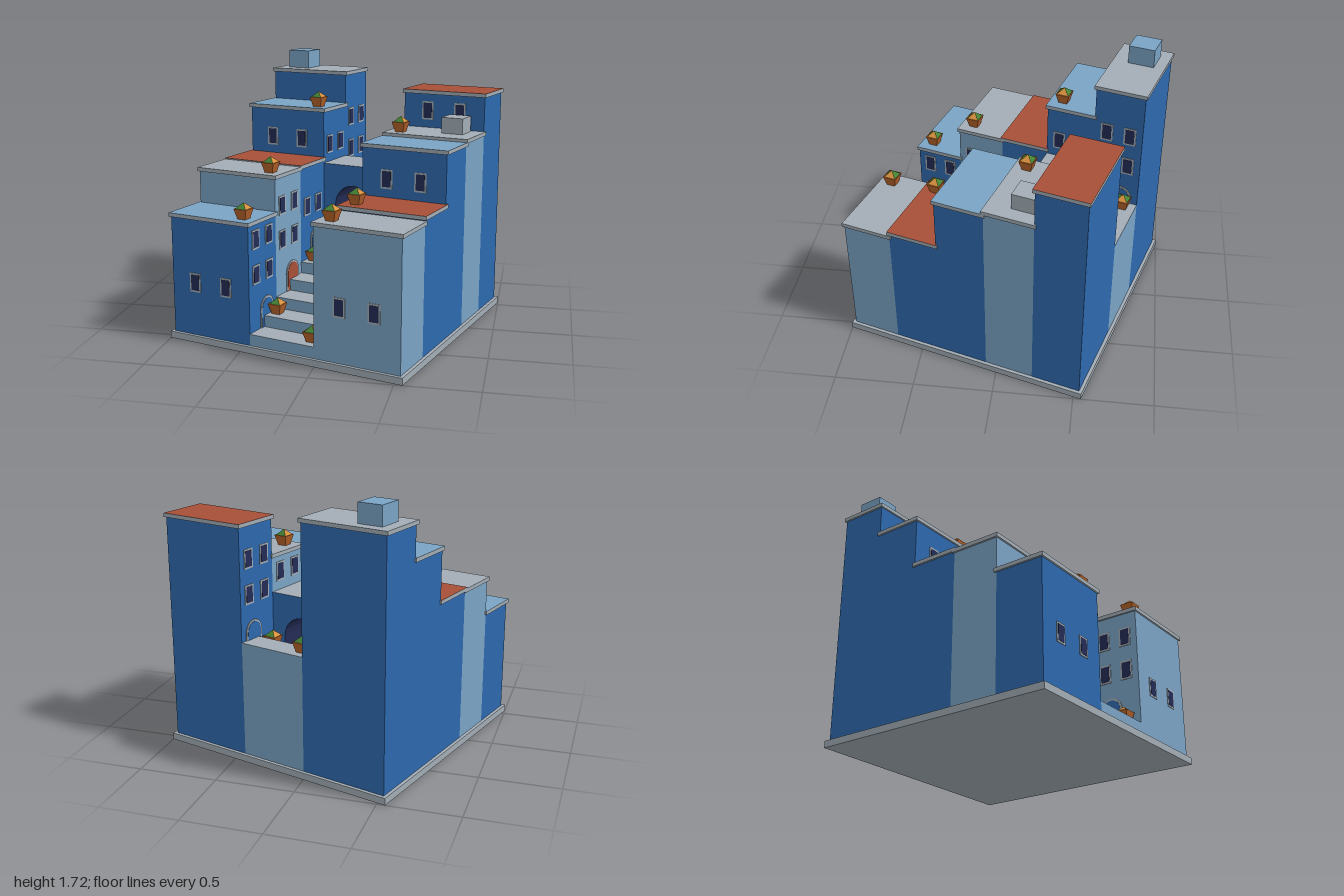
import * as THREE from 'three';

const paint = (name, color) => {
  const m = new THREE.MeshStandardMaterial({ color });
  m.name = name;
  return m;
};

export function createModel() {
  const grey = paint('stone grey', 0xa3adb5);
  const pale = paint('pale blue', 0x7aa3c4);
  const blue = paint('deep blue', 0x2d69ae);
  const red = paint('terracotta red', 0xa84f38);
  const navy = paint('dark glass', 0x232c55);
  const clay = paint('clay pot', 0xb5622a);
  const green = paint('leaf green', 0x458235);
  const flower = paint('orange blossom', 0xd8913c);

  const model = new THREE.Group();
  model.name = 'hillsideStreet';
  const town = new THREE.Group();
  town.name = 'town';
  town.rotation.y = -0.2825;
  model.add(town);

  const GROUND = 0.044, HALF = 0.786, PITCH = 0.3144, STREET = 0.223;
  const RISE = 0.073, BRIDGE_TOP = 1.013, LIP = 0.011, SLAB = 0.025;
  const stepTop = (i) => GROUND + RISE * (i + 1);

  const add = (name, geometry, material, x = 0, y = 0, z = 0, parent = town) => {
    const mesh = new THREE.Mesh(geometry, material);
    mesh.name = name;
    mesh.position.set(x, y, z);
    parent.add(mesh);
    return mesh;
  };
  // Box given by its ranges, with its own colour on the top face
  const block = (name, x0, x1, y0, y1, z0, z1, side, top = side) =>
    add(name, new THREE.BoxGeometry(x1 - x0, y1 - y0, z1 - z0),
      [side, side, top, side, side, side], (x0 + x1) / 2, (y0 + y1) / 2, (z0 + z1) / 2);

  // Windows and doors are thin plates, turned to the wall they sit on
  const addWindow = (x, y, z, turn) => {
    const g = new THREE.Group();
    g.name = 'window';
    g.position.set(x, y, z);
    g.rotation.y = turn;
    add('windowFrame', new THREE.BoxGeometry(0.079, 0.122, 0.008), grey, 0, 0, 0, g);
    add('windowPane', new THREE.BoxGeometry(0.058, 0.1, 0.009), navy, 0, 0, 0.001, g);
    town.add(g);
  };
  const archShape = (w, spring, bottom = 0) => {
    const s = new THREE.Shape();
    s.moveTo(-w, bottom);
    s.lineTo(w, bottom);
    s.lineTo(w, spring);
    s.absarc(0, spring, w, 0, Math.PI, false);
    s.lineTo(-w, bottom);
    return s;
  };
  const plate = (shape, depth) =>
    new THREE.ExtrudeGeometry(shape, { depth, bevelEnabled: false, curveSegments: 5 });
  const addDoor = (x, y, z, turn, color) => {
    const g = new THREE.Group();
    g.name = 'door';
    g.position.set(x, y, z);
    g.rotation.y = turn;
    add('doorFrame', plate(archShape(0.075, 0.118), 0.006), grey, 0, 0, 0, g);
    add('doorLeaf', plate(archShape(0.062, 0.118), 0.008), color, 0, 0, 0, g);
    town.add(g);
  };

  // Base slab
  block('base', -0.807, 0.807, 0, GROUND, -0.807, 0.807, grey);

  // Houses: height, wall, roof, front windows height (if any), door colour
  const rows = {
    left: [
      [0.818, blue, pale, 0.388, blue],
      [1.048, pale, grey, 0, red],
      [1.056, blue, red, 0, blue],
      [1.384, blue, pale, 1.171, blue],
      [1.599, blue, grey, 0, blue],
    ],
    right: [
      [0.88, pale, grey, 0.388, blue],
      [0.911, blue, red, 0, red],
      [1.24, blue, pale, 1.027, blue],
      [1.26, pale, grey, 0, blue],
      [1.507, blue, red, 1.373, blue],
    ],
  };
  for (const [row, houses] of Object.entries(rows)) {
    const s = row === 'left' ? -1 : 1;
    const x0 = s < 0 ? -HALF : STREET, x1 = s < 0 ? -STREET : HALF;
    const turn = -s * Math.PI / 2;
    houses.forEach(([top, wall, roof, frontY, doorColor], i) => {
      const zf = HALF - PITCH * i, zb = zf - PITCH, zm = (zf + zb) / 2;
      block(row + 'House', x0, x1, GROUND, top - 0.01, zb, zf, wall);
      block(row + 'Roof', x0 - LIP, x1 + LIP, top - SLAB, top, zb - LIP, zf + LIP, grey, roof);
      if (frontY) {
        for (const dx of [-0.113, 0.113]) addWindow((x0 + x1) / 2 + dx, frontY, zf, 0);
      }
      // Street side
      const foot = stepTop(2 * i);
      const bridged = i === 3;
      if (!bridged) addDoor(s * STREET, foot, zm - 0.04, turn, doorColor);
      for (let y = foot + 0.359; y + 0.1 < top; y += 0.222) {
        if (bridged && y < BRIDGE_TOP + 0.06) continue;
        for (const dz of [-0.075, 0.075]) addWindow(s * STREET, y, zm + dz, turn);
      }
    });
  }

  // Boxes on the roofs
  block('roofTank', -0.722, -0.564, 1.59, 1.719, -0.728, -0.56, pale);
  block('roofVent', 0.561, 0.705, 1.25, 1.362, -0.443, -0.297, grey);

  // Climbing street
  for (let i = 0; i < 10; i++) {
    const z = HALF - i * PITCH / 2;
    block('step', -STREET, STREET, GROUND, stepTop(i), z - PITCH / 2, z, pale, grey);
  }

  // Bridge over the street with a lined archway
  const bridge = new THREE.Shape();
  bridge.moveTo(-STREET, 0.5);
  bridge.lineTo(STREET, 0.5);
  bridge.lineTo(STREET, BRIDGE_TOP);
  bridge.lineTo(-STREET, BRIDGE_TOP);
  bridge.holes.push(archShape(0.135, 0.745, 0.51));
  add('bridge', plate(bridge, PITCH), [blue, navy], 0, 0, HALF - 4 * PITCH);
  block('bridgeTop', -STREET, STREET, BRIDGE_TOP - 0.001, BRIDGE_TOP + 0.003,
    HALF - 4 * PITCH, HALF - 3 * PITCH, blue, grey);

  // Flower pots: flared square pot with a two-coloured pyramid of plants
  const faceted = (geometry) => {
    geometry.clearGroups();
    const g = geometry.rotateY(Math.PI / 4).toNonIndexed();
    g.computeVertexNormals();
    return g;
  };
  const potGeo = faceted(new THREE.CylinderGeometry(0.0625, 0.039, 0.065, 4));
  const plantGeo = faceted(new THREE.ConeGeometry(0.054, 0.036, 4, 1, true));
  for (let i = 0; i < 4; i++) plantGeo.addGroup(i * 3, 3, i % 2);
  const pots = [
    [-0.302, 0.818, 0.706], [-0.3, 1.048, 0.392], [-0.304, 1.384, -0.236],
    [0.303, 0.88, 0.706], [0.303, 0.911, 0.392], [0.303, 1.26, -0.236],
    [-0.168, stepTop(1), 0.549], [-0.168, stepTop(4), 0.079],
    [-0.168, stepTop(6), -0.236], [-0.17, stepTop(9), -0.707],
    [0.168, stepTop(0), 0.706], [0.168, stepTop(2), 0.392],
    [0.168, stepTop(3), 0.235], [0.168, stepTop(5), -0.079],
    [0.168, stepTop(8), -0.55],
  ];
  for (const [x, y, z] of pots) {
    add('pot', potGeo, clay, x, y + 0.0325, z);
    add('plant', plantGeo, [flower, green], x, y + 0.083, z);
  }
  return model;
}
